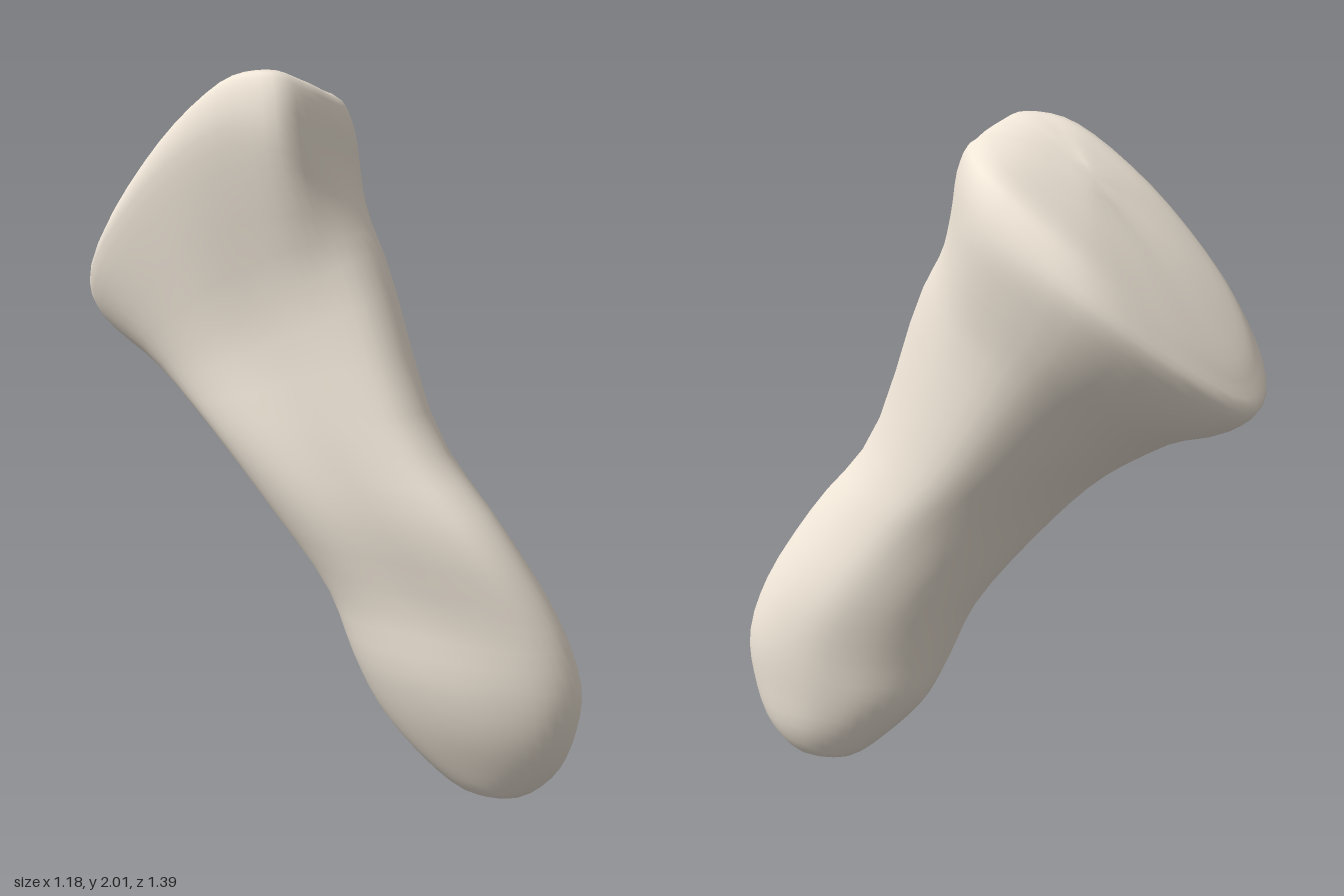
import * as THREE from 'three';
import { mergeVertices } from 'three/addons/utils/BufferGeometryUtils.js';

const COUNT = 12; // control points per ring
const AROUND = 48; // facets around the bone
const ALONG = 45; // steps along the bone

// Shaft rings from the rounded foot up to the flare:
// [y, xMin, xMax, zMin, zMax, skew, tilt, sideShift]
const SHAFT = [
  [0.022, 0.32, 0.48, 0.365, 0.51, 0.9, 0, 0],
  [0.11, 0.22, 0.55, 0.285, 0.595, 0.9, 0, 0.01],
  [0.24, 0.12, 0.58, 0.20, 0.665, 0.87, 0, 0.012],
  [0.38, 0.055, 0.585, 0.155, 0.695, 0.87, 0, 0.02],
  [0.56, -0.005, 0.53, 0.085, 0.675, 0.88, 0, 0.038],
  [0.80, -0.16, 0.40, -0.05, 0.60, 0.93, 0, 0.055],
  [1.01, -0.285, 0.27, -0.20, 0.45, 1.03, 0.03, 0.07],
  [1.31, -0.40, 0.175, -0.42, 0.295, 1.15, 0.19, 0.085],
];

// Height of the joint face: a high rounded front falling away to the back
function faceHeight(x, z) {
  const u = x + z, v = x - z;
  return 2.0 - 0.7 * u ** 2 - 0.2 * u ** 3 - 0.17 * (v + 0.3);
}

// Outline (x, z) of the joint face, in the same order as the shaft rings
const RIM = [
  [0.125, 0.02], [0.05, 0.13], [-0.05, 0.23], [-0.17, 0.265],
  [-0.30, 0.12], [-0.45, -0.12], [-0.58, -0.35], [-0.56, -0.54],
  [-0.42, -0.68], [-0.20, -0.68], [0.03, -0.58], [0.18, -0.30],
];

// Skewed ellipse that spans the given x and z ranges, its broad sides moved sideways
function shaftRing([y, x0, x1, z0, z1, skew, tilt, shift]) {
  return Array.from({ length: COUNT }, (_, i) => {
    const t = (i / COUNT) * Math.PI * 2;
    const move = shift * Math.SQRT1_2 * Math.sin(t - skew / 2) ** 4;
    return new THREE.Vector3(
      (x0 + x1) / 2 + ((x1 - x0) / 2) * Math.cos(t) + move,
      y + tilt * Math.cos(t - skew / 2),
      (z0 + z1) / 2 + ((z1 - z0) / 2) * Math.cos(t - skew) - move,
    );
  });
}

// Joint outline shrunk towards its middle, set below the face by a drop
// that lessens towards the back
function faceRing(scale, drop) {
  return RIM.map(([rx, rz]) => {
    const x = -0.2 + (rx + 0.2) * scale;
    const z = -0.2 + (rz + 0.2) * scale;
    return new THREE.Vector3(x, faceHeight(x, z) - drop * (1 + 0.6 * (x + z)), z);
  });
}

function boneGeometry() {
  const foot = Array.from({ length: COUNT }, () => new THREE.Vector3(0.4, 0, 0.44));
  const shaft = SHAFT.map(shaftRing);
  const flare = shaft[shaft.length - 1];
  const rim = faceRing(1, 0.16);
  // Wall just under the rim, between the flare and the joint
  const wall = rim.map((p, i) => {
    const q = p.clone().lerp(flare[i], 0.27);
    q.y -= 0.03;
    return q;
  });
  const rings = [
    foot, ...shaft, wall, rim,
    faceRing(0.95, 0.06), faceRing(0.85, 0.005), faceRing(0.5, 0), faceRing(0, 0),
  ];

  // Smooth each ring around, then smooth each column along the bone
  const smoothRings = rings.map((ring) => {
    const curve = new THREE.CatmullRomCurve3(ring, true, 'catmullrom', 0.5);
    return Array.from({ length: AROUND }, (_, i) => curve.getPoint(i / AROUND));
  });
  const columns = Array.from({ length: AROUND }, (_, i) =>
    new THREE.CatmullRomCurve3(smoothRings.map((r) => r[i])).getPoints(ALONG));

  const positions = [];
  const index = [];
  for (let j = 0; j <= ALONG; j++) {
    for (let i = 0; i < AROUND; i++) {
      const p = columns[i][j];
      positions.push(p.x, p.y, p.z);
      if (j === ALONG) continue;
      const next = (i + 1) % AROUND;
      const a = j * AROUND + i, b = j * AROUND + next;
      const c = a + AROUND, d = b + AROUND;
      if (j < ALONG - 1) index.push(a, c, d);
      else index.push(a, c, b);
      if (j > 0 && j < ALONG - 1) index.push(a, d, b);
    }
  }
  const geometry = new THREE.BufferGeometry();
  geometry.setAttribute('position', new THREE.Float32BufferAttribute(positions, 3));
  geometry.setIndex(index);
  const merged = mergeVertices(geometry, 1e-5);
  merged.computeVertexNormals();
  return merged;
}

export function createModel() {
  const group = new THREE.Group();
  group.name = 'bone';
  const material = new THREE.MeshStandardMaterial({ color: 0xf0e6d8 });
  const bone = new THREE.Mesh(boneGeometry(), material);
  bone.name = 'boneShaftAndJoint';
  group.add(bone);
  return group;
}
